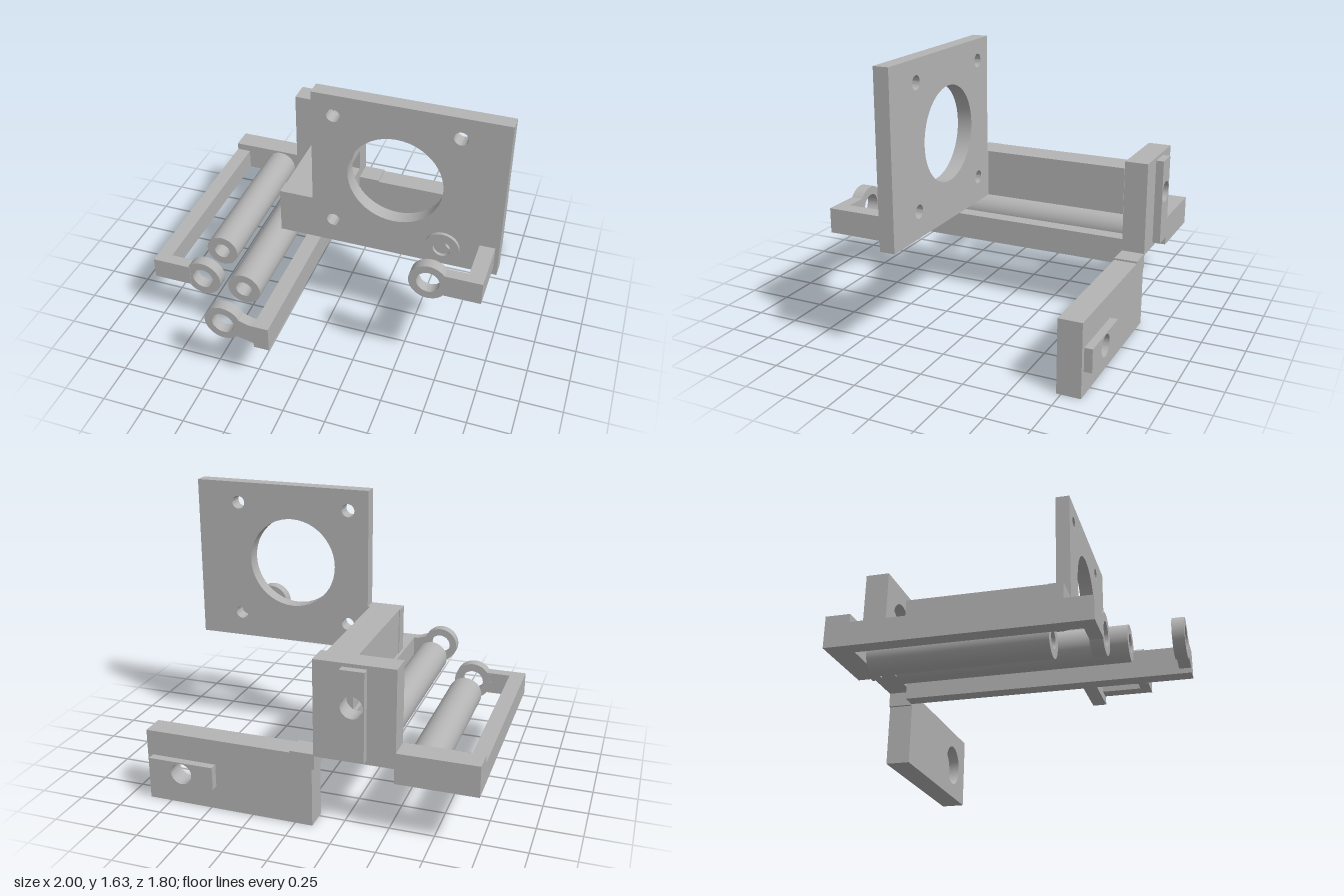
import * as THREE from 'three';
import { toCreasedNormals } from 'three/addons/utils/BufferGeometryUtils.js';

export function createModel() {
  const model = new THREE.Group();
  model.name = 'mountingBracket';
  const grey = new THREE.MeshStandardMaterial({ color: 0xb4b4b4 });
  grey.name = 'light grey';

  const add = (name, geometry) => {
    const mesh = new THREE.Mesh(geometry, grey);
    mesh.name = name;
    model.add(mesh);
    return mesh;
  };
  const box = (name, x0, x1, y0, y1, z0, z1) => {
    const mesh = add(name, new THREE.BoxGeometry(x1 - x0, y1 - y0, z1 - z0));
    mesh.position.set((x0 + x1) / 2, (y0 + y1) / 2, (z0 + z1) / 2);
  };
  // Extrudes an outline along z, with round holes given as [x, y, r]
  const extrude = (name, shape, holes, z0, z1) => {
    for (const [x, y, r] of holes) {
      shape.holes.push(new THREE.Path().absarc(x, y, r, 0, Math.PI * 2, true));
    }
    const g = new THREE.ExtrudeGeometry(shape, { depth: z1 - z0, bevelEnabled: false, curveSegments: 24 });
    g.translate(0, 0, z0);
    add(name, toCreasedNormals(g, 0.6));
  };
  const polygon = (pts) => new THREE.Shape(pts.map(([x, y]) => new THREE.Vector2(x, y)));
  const plate = (name, x0, x1, y0, y1, z0, z1, holes) =>
    extrude(name, polygon([[x0, y0], [x1, y0], [x1, y1], [x0, y1]]), holes, z0, z1);
  const ring = (name, x, y, outer, inner, z0, z1) =>
    extrude(name, new THREE.Shape().absarc(x, y, outer, 0, Math.PI * 2, false), [[x, y, inner]], z0, z1);

  const back = -0.86, face = -0.725, step = -0.79;

  // Motor plate and the arm that carries it
  extrude('motorPlate', polygon([
    [-0.29, 0.655], [0.998, 0.655], [0.998, 1.63], [-0.09, 1.63], [-0.09, 0.93], [-0.29, 0.93],
  ]), [
    [0.39, 1.155, 0.272],
    [0.035, 1.505, 0.039], [0.735, 1.505, 0.039], [0.035, 0.805, 0.039], [0.735, 0.805, 0.039],
  ], 0.137, 0.225);
  box('plateArm', -0.285, -0.105, 0.655, 0.93, face, 0.137);

  // Blocks with a counterbored screw hole and a slot key behind
  const screwBlock = (name, x0, x1, y0, y1, hx, hy, key) => {
    plate(name + 'Back', x0, x1, y0, y1, back, step, [[hx, hy, 0.065]]);
    plate(name + 'Front', x0, x1, y0, y1, step, face, [[hx, hy, 0.12]]);
    plate(name + 'Key', ...key, -0.905, back, [[hx, hy, 0.062]]);
  };
  screwBlock('tallBlock', -0.56, -0.11, 0.42, 0.97, -0.335, 0.75, [-0.403, -0.27, 0.445, 0.95]);
  screwBlock('lowBlock', -0.1, 0.88, 0, 0.42, 0.655, 0.205, [0.465, 0.85, 0.14, 0.273]);
  box('blockLink', -0.115, 0.025, 0.34, 0.43, back, face);
  box('sideBlock', -1, -0.552, 0.335, 0.51, back, face);

  // Guide tubes
  ring('outerTube', -0.68, 0.4, 0.1, 0.05, face, 0.255);
  ring('innerTube', -0.38, 0.47, 0.1, 0.05, -0.69, 0.605);
  // Closed ends of the tube bores
  for (const [name, x, y, z] of [['outerTubeEnd', -0.68, 0.4, -0.71], ['innerTubeEnd', -0.38, 0.47, -0.68]]) {
    const g = new THREE.CylinderGeometry(0.055, 0.055, 0.02, 24).rotateX(Math.PI / 2);
    add(name, g).position.set(x, y, z);
  }

  // Outer filament guide: side rail, foot and eyelet
  box('outerRail', -1, -0.912, 0.335, 0.465, face, 0.53);
  box('outerFoot', -0.912, -0.765, 0.335, 0.465, 0.46, 0.53);
  ring('outerEyelet', -0.683, 0.4, 0.112, 0.065, 0.458, 0.527);

  // Inner guide
  box('innerRail', -0.2, -0.11, 0.345, 0.5, face, 0.9);
  extrude('innerFoot', polygon([[-0.3, 0.395], [-0.2, 0.373], [-0.2, 0.5], [-0.225, 0.5], [-0.3, 0.525]]), [], 0.835, 0.9);
  ring('innerEyelet', -0.38, 0.47, 0.11, 0.065, 0.835, 0.9);

  // Guide on the front of the plate
  ring('plateBoss', 0.68, 0.775, 0.1, 0.05, 0.225, 0.245);
  box('plateRail', 0.887, 0.975, 0.705, 0.84, 0.225, 0.54);
  box('plateFoot', 0.763, 0.887, 0.705, 0.84, 0.475, 0.54);
  ring('plateEyelet', 0.68, 0.773, 0.11, 0.065, 0.475, 0.54);

  return model;
}
